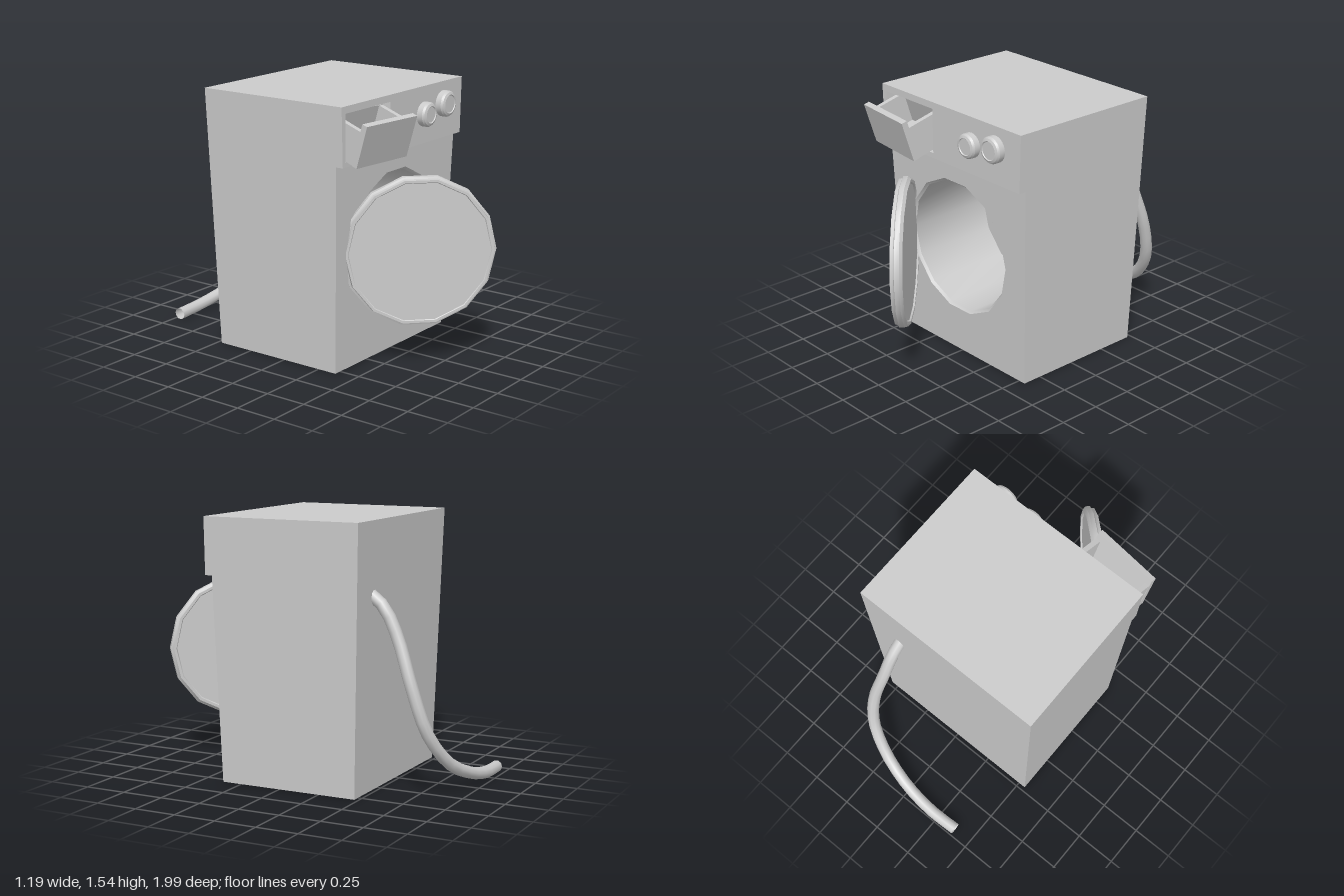
import * as THREE from 'three';
import { toCreasedNormals } from 'three/addons/utils/BufferGeometryUtils.js';

const SIDES = 14;
const grey = new THREE.MeshStandardMaterial({ color: 0xcccccc });
const greyThin = new THREE.MeshStandardMaterial({ color: 0xcccccc, side: THREE.DoubleSide });

function add(parent, name, geometry, material = grey) {
  const mesh = new THREE.Mesh(geometry, material);
  mesh.name = name;
  parent.add(mesh);
  return mesh;
}

// The cabinet widens and deepens slightly towards the top
const halfWidth = y => 0.545 + 0.033 * y;
const frontZ = y => 0.37 + 0.03 * y;
const backZ = y => -0.475 - 0.027 * y;
const MID_Z = -0.19;

// Tapered slab between two heights, spanning two z rules, with an optional hole
function slab(y0, y1, back, front, hole) {
  const shape = new THREE.Shape([
    new THREE.Vector2(-halfWidth(y0), y0), new THREE.Vector2(halfWidth(y0), y0),
    new THREE.Vector2(halfWidth(y1), y1), new THREE.Vector2(-halfWidth(y1), y1),
  ]);
  if (hole) shape.holes.push(new THREE.Path(hole));
  const geo = new THREE.ExtrudeGeometry(shape, { depth: 1, bevelEnabled: false });
  const p = geo.attributes.position;
  for (let i = 0; i < p.count; i++) {
    const y = p.getY(i);
    p.setZ(i, THREE.MathUtils.lerp(back(y), front(y), p.getZ(i)));
  }
  geo.computeVertexNormals();
  return geo;
}

// Turned part whose axis points along +z
function turned(profile, segments) {
  const geo = new THREE.LatheGeometry(
    profile.map(([r, h]) => new THREE.Vector2(r, h)), segments, Math.PI / 2);
  geo.rotateX(Math.PI / 2);
  return toCreasedNormals(geo, 0.5);
}

export function createModel() {
  const model = new THREE.Group();
  model.name = 'washingMachine';

  // Cabinet: rear block, front with round opening, control panel with drawer slot
  const cabinet = new THREE.Group();
  cabinet.name = 'cabinet';
  model.add(cabinet);
  const cx = -0.01, cy = 0.677, openR = 0.416;
  const opening = [];
  for (let i = 0; i < SIDES; i++) {
    const a = -i * 2 * Math.PI / SIDES;
    opening.push(new THREE.Vector2(cx + openR * Math.cos(a), cy + openR * Math.sin(a)));
  }
  const slot = [[-0.56, 1.235], [-0.56, 1.5], [-0.14, 1.5], [-0.14, 1.235]]
    .map(([x, y]) => new THREE.Vector2(x, y));
  add(cabinet, 'cabinetRear', slab(0, 1.54, backZ, () => MID_Z));
  add(cabinet, 'cabinetFront', slab(0, 1.205, () => MID_Z, frontZ, opening));
  add(cabinet, 'controlPanel', slab(1.205, 1.54, () => MID_Z, () => 0.45, slot));

  // Drum: inward-facing liner with a chamfered lip
  const drum = add(model, 'drum', turned(
    [[openR, 0], [0.402, -0.015], [0.402, -0.55], [0, -0.55]], SIDES), greyThin);
  drum.position.set(cx, cy, frontZ(cy));
  drum.rotation.x = 0.03;

  // Door, swung half open on its hinge side
  const door = add(model, 'door', turned([
    [0, -0.025], [0.402, -0.025], [0.408, -0.035], [0.424, -0.035], [0.44, -0.018],
    [0.44, 0.01], [0.428, 0.015], [0.424, 0.035], [0.41, 0.035], [0.406, 0.03], [0, 0.03],
  ], SIDES));
  door.position.set(-0.153, 0.68, 0.663);
  door.rotation.y = -Math.PI / 4;

  // Detergent drawer: open tray, tipped and slightly askew
  const drawer = new THREE.Group();
  drawer.name = 'drawer';
  drawer.position.set(-0.368, 1.33, 0.588);
  drawer.rotation.set(0.3, -0.11, 0, 'YXZ');
  model.add(drawer);
  const panel = (name, w, h, d, x, y, z) =>
    add(drawer, name, new THREE.BoxGeometry(w, h, d)).position.set(x, y, z);
  panel('drawerFront', 0.41, 0.25, 0.035, 0, 0, -0.0175);
  panel('drawerFloor', 0.4, 0.02, 0.24, 0, -0.115, -0.15);
  panel('drawerBack', 0.4, 0.2, 0.025, 0, -0.02, -0.26);
  for (const s of [-1, 1]) panel('drawerSide', 0.03, 0.2, 0.24, s * 0.188, -0.022, -0.15);

  // Knobs with chamfered rims
  for (const [x, y, r] of [[0.195, 1.378, 0.072], [0.393, 1.41, 0.077]]) {
    const knob = add(model, 'knob', turned(
      [[r, -0.01], [r, 0.035], [r - 0.008, 0.047], [r - 0.022, 0.053], [r - 0.026, 0.048], [0, 0.048]], 24));
    knob.position.set(x, y, 0.45);
  }

  // Drain hose trailing down and around behind the cabinet
  const path = new THREE.CatmullRomCurve3([
    [0.365, 1.13, -0.48], [0.365, 1.06, -0.565], [0.37, 0.9, -0.65], [0.392, 0.62, -0.75],
    [0.35, 0.37, -0.825], [0.2, 0.18, -0.895], [0, 0.085, -0.945],
    [-0.2, 0.045, -0.964], [-0.385, 0.037, -0.958],
  ].map(p => new THREE.Vector3(...p)));
  add(model, 'hose', new THREE.TubeGeometry(path, 20, 0.036, 10), greyThin);

  return model;
}
